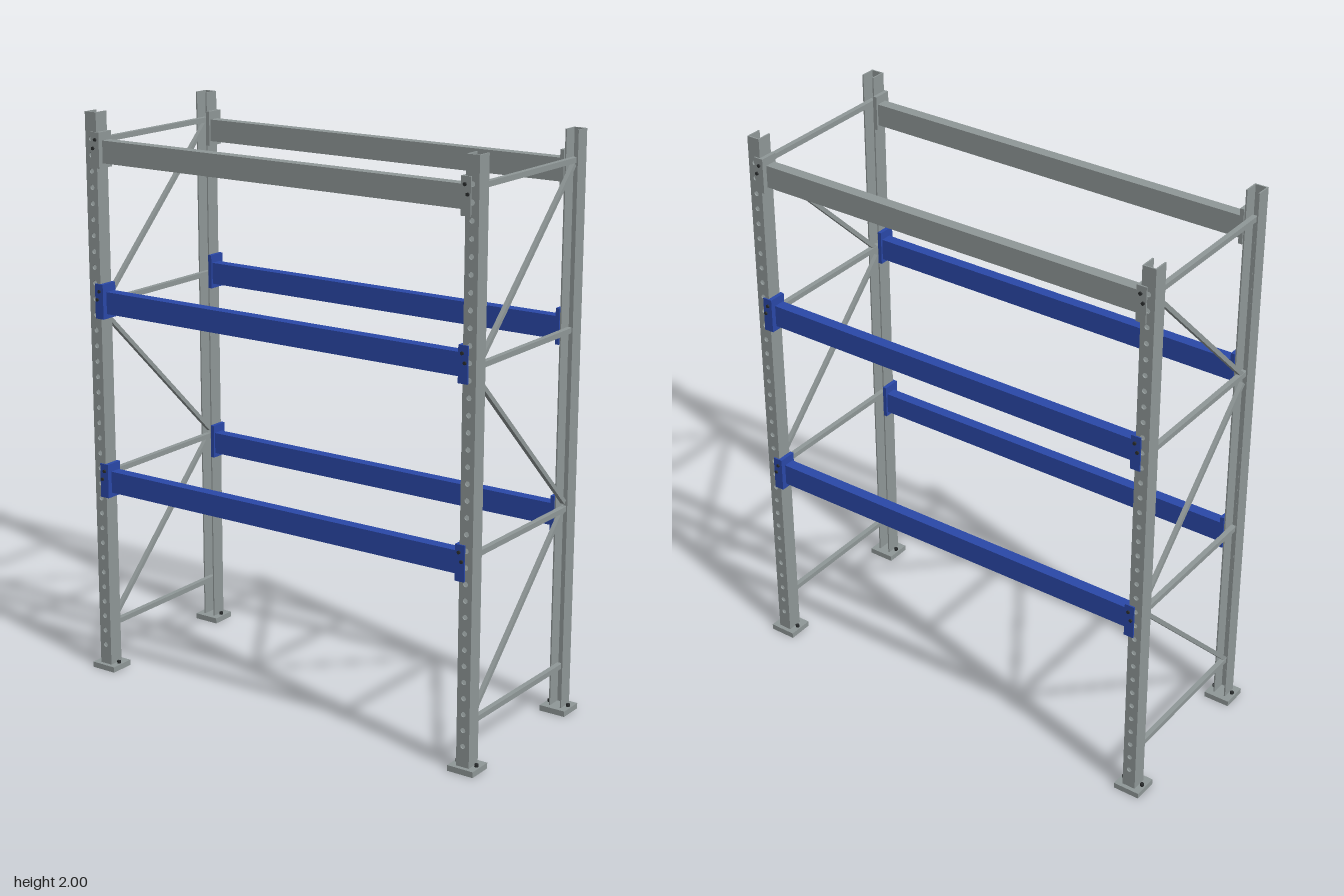
import * as THREE from 'three';

export function createModel() {
  const model = new THREE.Group();
  model.name = 'palletRack';

  const mat = (name, color) => {
    const m = new THREE.MeshStandardMaterial({ color });
    m.name = name;
    return m;
  };
  const steel = mat('grey steel', 0x8f9797);
  const blue = mat('blue paint', 0x2a48a8);
  const dark = mat('dark bolt', 0x2a2d2e);

  const add = (parent, name, geometry, material, x, y, z) => {
    const mesh = new THREE.Mesh(geometry, material);
    mesh.name = name;
    mesh.position.set(x, y, z);
    parent.add(mesh);
    return mesh;
  };
  const box = (parent, name, material, w, h, d, x, y, z) =>
    add(parent, name, new THREE.BoxGeometry(w, h, d), material, x, y, z);

  const POST_X = 0.752, POST_W = 0.048, WALL = 0.005;
  const POST_OUT = 0.325, POST_IN = 0.27, FOOT = 0.02;

  // Perforated web of the upright
  const webShape = new THREE.Shape();
  webShape.moveTo(-POST_W / 2, FOOT);
  webShape.lineTo(POST_W / 2, FOOT);
  webShape.lineTo(POST_W / 2, 2);
  webShape.lineTo(-POST_W / 2, 2);
  webShape.closePath();
  for (let i = 0; i < 34; i++) {
    const hole = new THREE.Path();
    hole.absarc(0, 0.092 + i * 0.0551, 0.009, 0, Math.PI * 2, true);
    webShape.holes.push(hole);
  }
  const webGeometry = new THREE.ExtrudeGeometry(webShape, { depth: WALL, bevelEnabled: false, curveSegments: 10 });
  webGeometry.translate(0, 0, -WALL / 2);

  // Channel uprights, open towards the middle of the frame, on foot plates
  for (const sx of [-1, 1]) for (const sz of [-1, 1]) {
    const post = new THREE.Group();
    post.name = 'upright';
    model.add(post);
    add(post, 'uprightWeb', webGeometry, steel, sx * POST_X, 0, sz * (POST_OUT - WALL / 2));
    for (const side of [-1, 1]) {
      box(post, 'uprightFlange', steel, WALL, 2 - FOOT, POST_OUT - POST_IN - WALL,
        sx * POST_X + side * (POST_W - WALL) / 2, 1 + FOOT / 2, sz * (POST_OUT + POST_IN - WALL) / 2);
    }
    box(post, 'footPlate', steel, 0.096, FOOT, 0.09, sx * POST_X, FOOT / 2, sz * 0.295);
    for (const dx of [-0.036, 0.036]) {
      add(post, 'anchorBolt', new THREE.CylinderGeometry(0.007, 0.007, 0.01, 6), dark,
        sx * POST_X + dx, FOOT + 0.005, sz * 0.297);
    }
  }

  // Load beams with hooked end connectors
  const levels = [[0.705, blue], [1.347, blue], [1.867, steel]];
  const boltGeometry = new THREE.CylinderGeometry(0.006, 0.006, 0.006, 8).rotateX(Math.PI / 2);
  for (const [y, paint] of levels) for (const sz of [-1, 1]) {
    const beam = new THREE.Group();
    beam.name = 'loadBeam';
    model.add(beam);
    box(beam, 'beam', paint, 1.43, 0.077, 0.04, 0, y, sz * 0.292);
    for (const sx of [-1, 1]) {
      box(beam, 'connectorSide', paint, 0.014, 0.122, 0.064, sx * 0.721, y + 0.006, sz * 0.297);
      box(beam, 'connectorFace', paint, 0.035, 0.122, 0.005, sx * 0.7315, y + 0.006, sz * 0.3275);
      for (const [bx, dy] of [[0.729, 0.042], [0.739, 0.012]]) {
        add(beam, 'connectorBolt', boltGeometry, dark, sx * bx, y + dy, sz * 0.332);
      }
    }
  }

  // Side frame bracing: horizontal struts and zigzag diagonals
  const brace = (name, x, t, [z0, y0], [z1, y1]) => {
    const bar = box(model, name, steel, t, t, Math.hypot(z1 - z0, y1 - y0), x, (y0 + y1) / 2, (z0 + z1) / 2);
    bar.rotation.x = -Math.atan2(y1 - y0, z1 - z0);
  };
  for (const sx of [-1, 1]) {
    const x = sx * POST_X;
    for (const y of [0.163, 0.727, 1.34, 1.9]) brace('horizontalBrace', x, 0.018, [-0.295, y], [0.295, y]);
    brace('diagonalBrace', x, 0.015, [0.285, 0.172], [-0.285, 0.733]);
    brace('diagonalBrace', x, 0.015, [-0.285, 0.752], [0.285, 1.306]);
    brace('diagonalBrace', x, 0.015, [0.285, 1.332], [-0.285, 1.886]);
  }

  return model;
}
